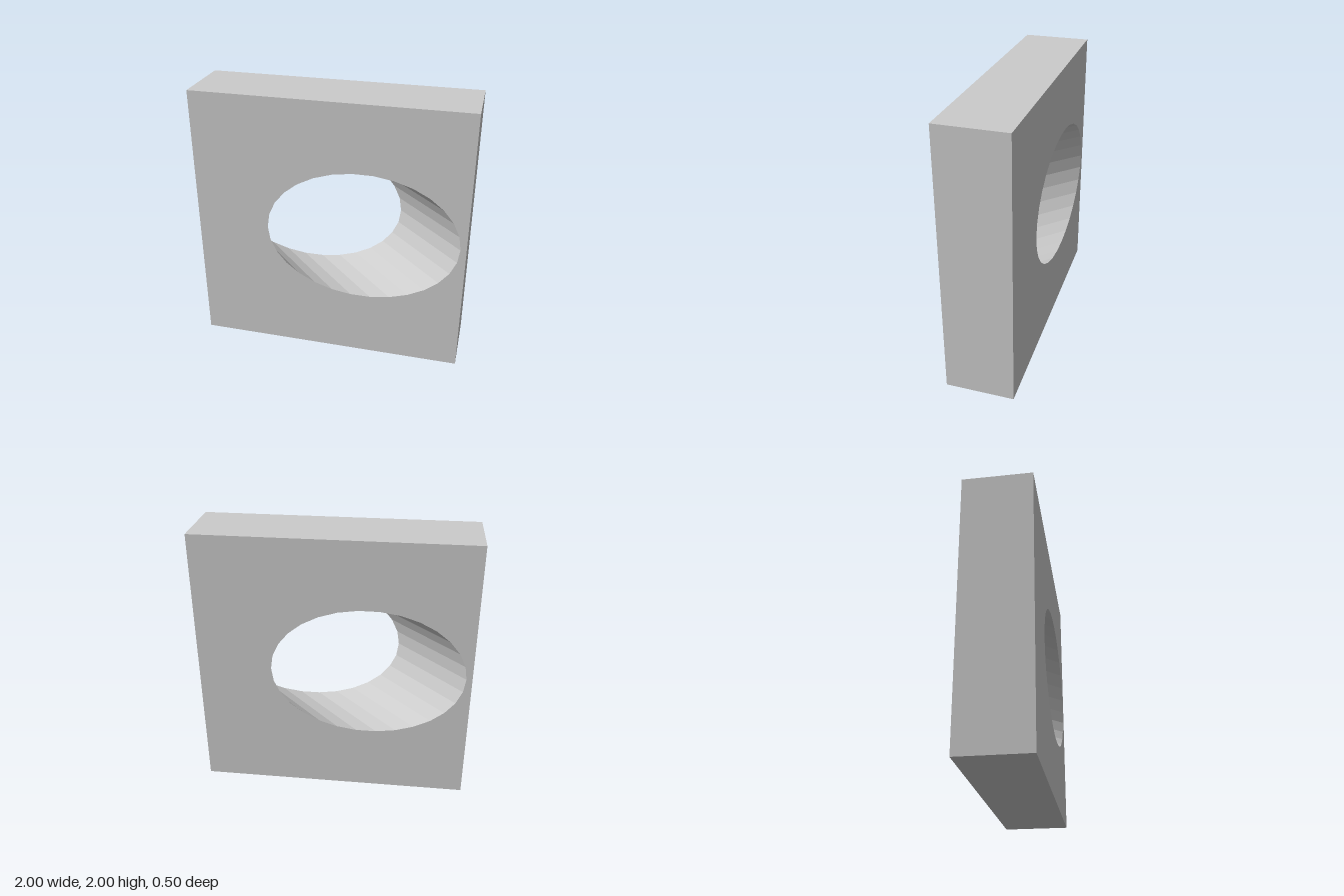
import * as THREE from 'three';

const HALF = 1;      // half width and height of the slab
const DEPTH = 0.5;   // slab thickness
const RADIUS = 0.5;  // radius of the bore, which runs at 45 degrees
const SIDES = 30;

export function createModel() {
  const group = new THREE.Group();
  const material = new THREE.MeshStandardMaterial({ color: 0xcccccc, flatShading: true });
  const add = (name, geometry) => {
    const mesh = new THREE.Mesh(geometry, material);
    mesh.name = name;
    mesh.position.y = HALF;
    group.add(mesh);
    return mesh;
  };

  // Square face with the elliptical mouth of the slanted bore
  const face = new THREE.Shape([
    new THREE.Vector2(-HALF, -HALF), new THREE.Vector2(HALF, -HALF),
    new THREE.Vector2(HALF, HALF), new THREE.Vector2(-HALF, HALF),
  ]);
  const mouth = [];
  for (let i = 0; i < SIDES; i++) {
    const a = (i / SIDES) * Math.PI * 2;
    mouth.push(new THREE.Vector2(
      DEPTH / 2 + RADIUS * Math.SQRT2 * Math.cos(a), RADIUS * Math.sin(a)));
  }
  face.holes.push(new THREE.Path(mouth));
  const faceGeometry = new THREE.ShapeGeometry(face).translate(0, 0, DEPTH / 2);
  add('frontFace', faceGeometry);
  // The back is the front turned half round
  add('backFace', faceGeometry).rotation.y = Math.PI;

  // Four outer edges of the slab
  const edge = new THREE.PlaneGeometry(2 * HALF, DEPTH)
    .rotateX(-Math.PI / 2).translate(0, HALF, 0);
  ['topEdge', 'rightEdge', 'bottomEdge', 'leftEdge'].forEach((name, i) => {
    add(name, edge).rotation.z = i * Math.PI / 2;
  });

  // Bore wall: a tube turned inside out by mirroring, then sheared along z
  const bore = new THREE.CylinderGeometry(RADIUS, RADIUS, DEPTH, SIDES, 1, true, Math.PI / 2)
    .rotateX(Math.PI / 2)
    .scale(-Math.SQRT2, 1, 1)
    .applyMatrix4(new THREE.Matrix4().set(
      1, 0, 1, 0,
      0, 1, 0, 0,
      0, 0, 1, 0,
      0, 0, 0, 1))
    .toNonIndexed();
  bore.computeVertexNormals();
  add('boreWall', bore);

  return group;
}
